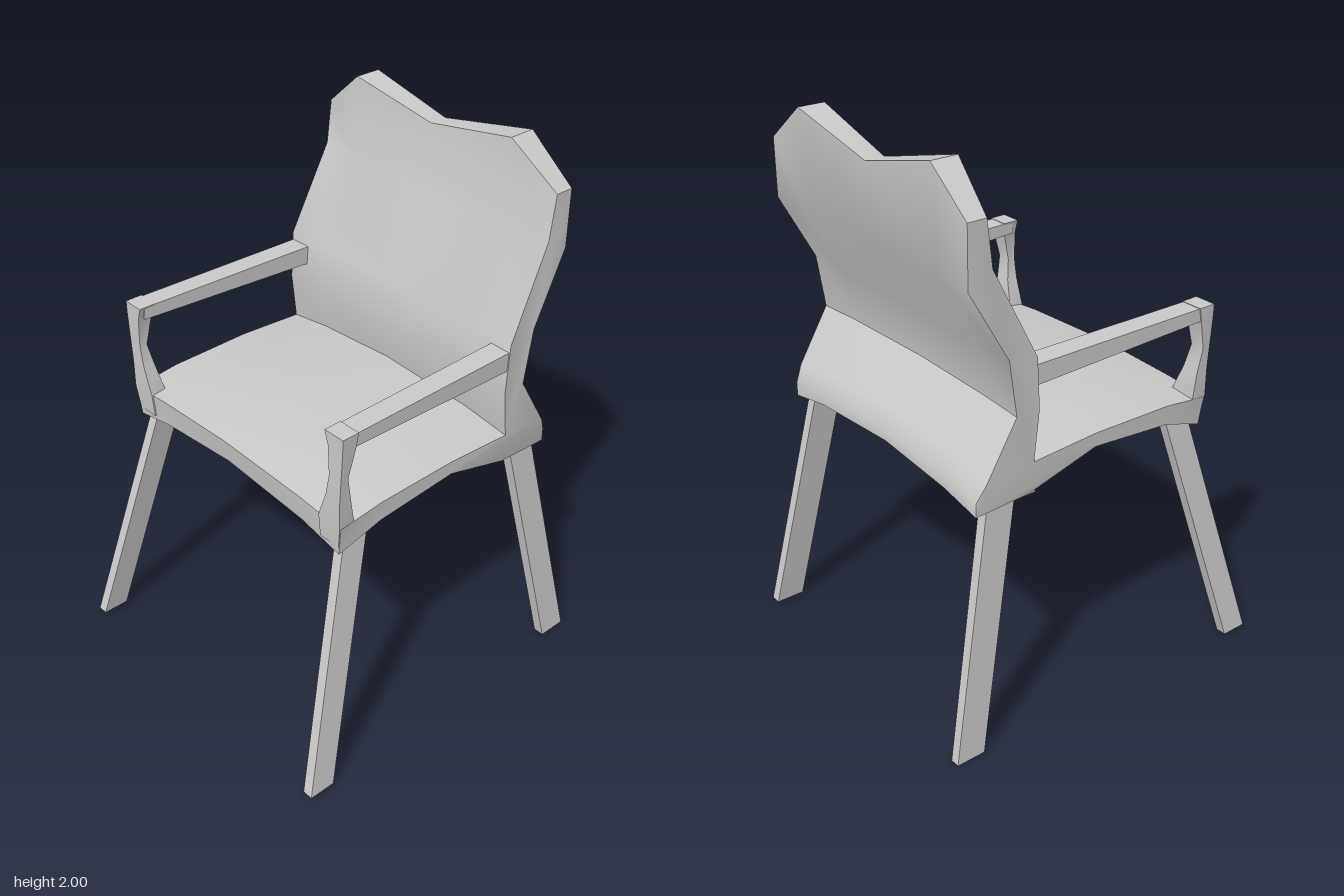
import * as THREE from 'three';
import { toCreasedNormals } from 'three/addons/utils/BufferGeometryUtils.js';

const material = new THREE.MeshStandardMaterial({ color: 0xcccccc });

// Skins a row of closed loops (counter-clockwise seen from the far end) and caps both ends.
function loft(name, loops, cap = [[0, 1, 2], [0, 2, 3]]) {
  const n = loops[0].length;
  const last = (loops.length - 1) * n;
  const index = [];
  for (let i = 0; i < loops.length - 1; i++) {
    for (let j = 0; j < n; j++) {
      const a = i * n + j, b = i * n + (j + 1) % n;
      index.push(a, b, b + n, a, b + n, a + n);
    }
  }
  for (const [a, b, c] of cap) index.push(a, c, b, last + a, last + b, last + c);
  const geometry = new THREE.BufferGeometry();
  geometry.setAttribute('position', new THREE.Float32BufferAttribute(loops.flat(2), 3));
  geometry.setIndex(index);
  const mesh = new THREE.Mesh(toCreasedNormals(geometry, 0.6), material);
  mesh.name = name;
  return mesh;
}

// Upright bar: rings of [y, x0, x1, z0, z1], bottom to top.
const uprightBar = (name, side, rings) => loft(name, rings.map(([y, a, b, z0, z1]) => {
  const [x0, x1] = [a * side, b * side].sort((p, q) => p - q);
  return [[x0, y, z1], [x1, y, z1], [x1, y, z0], [x0, y, z0]];
}));

// Level bar: rings of [z, x0, x1, y0, y1], front to back.
const levelBar = (name, side, rings) => loft(name, rings.map(([z, a, b, y0, y1]) => {
  const [x0, x1] = [a * side, b * side].sort((p, q) => p - q);
  return [[x1, y0, z], [x0, y0, z], [x0, y1, z], [x1, y1, z]];
}));

// Seat and back: one bent profile, [edge z, edge y, middle z, middle y], swept across the width.
function seatAndBack() {
  const profile = [
    // underside, front to back
    [0.44, 0.90, 0.43, 0.95], [0.27, 0.96, 0.27, 0.985], [-0.05, 0.985, -0.05, 1.0],
    [-0.32, 0.90, -0.32, 0.96], [-0.53, 0.89, -0.53, 0.95],
    // rear face, upwards
    [-0.53, 0.94, -0.53, 0.99], [-0.50, 1.0, -0.49, 1.05], [-0.38, 1.2, -0.38, 1.22],
    [-0.41, 1.4, -0.40, 1.4], [-0.55, 1.65, -0.54, 1.65], [-0.55, 1.86, -0.56, 1.92],
    // front face, downwards
    [-0.48, 1.86, -0.49, 1.92], [-0.46, 1.7, -0.45, 1.68], [-0.30, 1.38, -0.31, 1.38],
    [-0.29, 1.2, -0.29, 1.2], [-0.31, 1.02, -0.31, 1.065],
    // seat top, back to front
    [-0.05, 1.035, -0.05, 1.07], [0.27, 1.03, 0.27, 1.065], [0.445, 1.01, 0.445, 1.04],
  ];
  const columns = [[-0.55, 1.86], [-0.38, 2], [-0.04, 1.92], [0.36, 2], [0.55, 1.86]];
  const loops = columns.map(([x, crest]) => {
    const e = Math.min(1, (x / 0.55) ** 2);
    return profile.map(([ez, ey, mz, my], k) => {
      const z = THREE.MathUtils.lerp(mz, ez, e);
      const onCrest = k === 10 || k === 11;
      const y = onCrest ? crest : THREE.MathUtils.lerp(my, ey, e);
      const bump = k === 11 && crest === 2 ? 0.03 : 0;
      return [x * (y > 1.6 || y < 0.95 ? 0.975 : 1), y, z + bump];
    });
  });
  const outline = loops[0].map(([, y, z]) => new THREE.Vector2(-z, y));
  return loft('seatAndBack', loops, THREE.ShapeUtils.triangulateShape(outline, []));
}

export function createModel() {
  const chair = new THREE.Group();
  chair.name = 'armchair';
  chair.add(seatAndBack());

  for (const [side, label] of [[1, 'left'], [-1, 'right']]) {
    // Armrest: waisted front post and a rail running into the back
    const arm = new THREE.Group();
    arm.name = label + 'Armrest';
    arm.add(uprightBar('armPost', side, [
      [0.93, 0.45, 0.537, 0.39, 0.443], [1.02, 0.45, 0.55, 0.39, 0.45],
      [1.12, 0.485, 0.55, 0.405, 0.45], [1.2, 0.5, 0.555, 0.42, 0.45],
      [1.31, 0.495, 0.562, 0.395, 0.45], [1.36, 0.48, 0.563, 0.385, 0.45],
    ]));
    arm.add(levelBar('armRail', side, [
      [0.43, 0.483, 0.56, 1.312, 1.358], [-0.36, 0.462, 0.545, 1.28, 1.352],
    ]));
    chair.add(arm);

    // Splayed flat legs
    const backFoot = side > 0 ? [0.585, 0.625] : [0.555, 0.59];
    chair.add(uprightBar(label + 'FrontLeg', side, [
      [0.01, 0.6, 0.64, 0.555, 0.655], [0.96, 0.475, 0.515, 0.295, 0.395],
    ]));
    chair.add(uprightBar(label + 'BackLeg', side, [
      [0.005, ...backFoot, -0.655, -0.545], [0.93, 0.485, 0.525, -0.475, -0.365],
    ]));
  }
  return chair;
}
